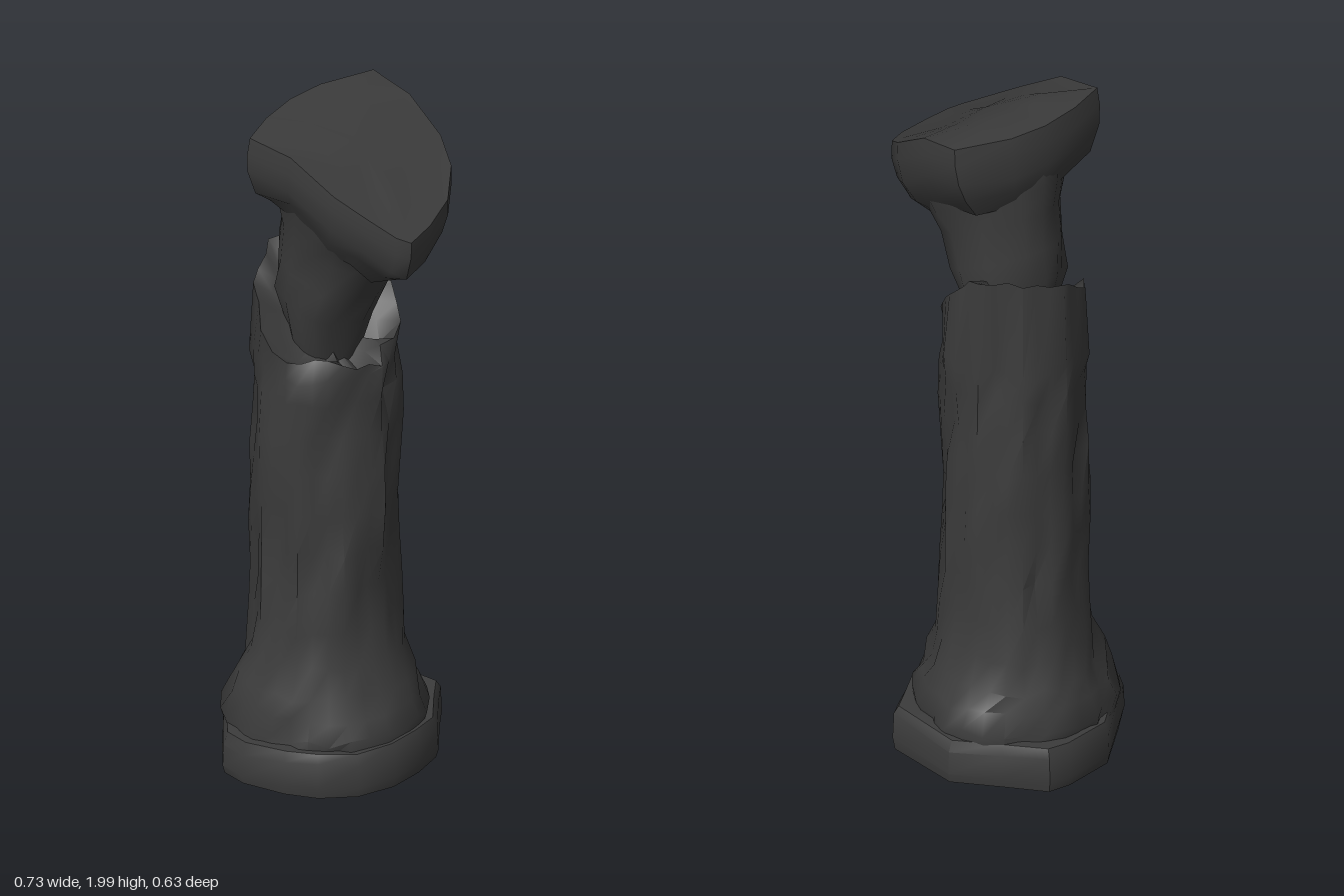
import * as THREE from 'three';
import { toCreasedNormals } from 'three/addons/utils/BufferGeometryUtils.js';

const TAU = Math.PI * 2;
const CX = -0.055; // axis of the standing shaft

// repeatable noise in -1..1
function hash(i, j) {
  const s = Math.sin(i * 127.1 + j * 311.7) * 43758.5453;
  return (s - Math.floor(s)) * 2 - 1;
}

// closed skin over rings of [x, y, z], listed bottom to top
function loft(rings, bottom, top, crease) {
  const n = rings[0].length;
  const pos = rings.flat().concat([bottom, top]).flat();
  const b = rings.length * n, t = b + 1, last = (rings.length - 1) * n;
  const index = [];
  for (let j = 0; j < n; j++) {
    const k = (j + 1) % n;
    for (let i = 0; i < rings.length - 1; i++) {
      const p = i * n + j, q = i * n + k;
      index.push(p, p + n, q, q, p + n, q + n);
    }
    index.push(b, j, k, t, last + k, last + j);
  }
  const g = new THREE.BufferGeometry();
  g.setAttribute('position', new THREE.Float32BufferAttribute(pos, 3));
  g.setIndex(index);
  return toCreasedNormals(g, crease);
}

// broken rim height by angle, from +x round through +z
const RIM = [1.27, 1.28, 1.31, 1.28, 1.43, 1.45, 1.52, 1.54, 1.54, 1.51, 1.41, 1.33];
function rimHeight(a) {
  const u = (a / TAU) * RIM.length, i = Math.floor(u) % RIM.length;
  return THREE.MathUtils.lerp(RIM[i], RIM[(i + 1) % RIM.length], u - Math.floor(u));
}

function plinthGeometry() {
  const outline = [[0.25, 0.06], [0.21, 0.17], [0.13, 0.25], [0.04, 0.29], [-0.09, 0.315], [-0.17, 0.3],
    [-0.23, 0.23], [-0.35, 0.08], [-0.37, -0.08], [-0.36, -0.15], [-0.25, -0.23], [-0.13, -0.32],
    [0.11, -0.31], [0.16, -0.24], [0.23, -0.15], [0.25, -0.05]];
  const ring = (s, y, w) => outline.map(([x, z], j) =>
    [CX + (x - CX) * s, y + w * hash(j, 3), z * s]);
  return loft([ring(0.98, 0, 0), ring(1, 0.03, 0.008), ring(0.99, 0.1, 0.015), ring(0.95, 0.13, 0.006)],
    [CX, 0, 0], [CX, 0.13, 0], 0.7);
}

function shaftGeometry() {
  const n = 30;
  // height and radius; the last rows are squeezed to the broken rim
  const profile = [[0.1, 0.275], [0.15, 0.285], [0.21, 0.262], [0.27, 0.245], [0.35, 0.216], [0.46, 0.205],
    [0.58, 0.201], [0.7, 0.2], [0.82, 0.2], [0.94, 0.2], [1.06, 0.2], [1.17, 0.2], [1.25, 0.2], [1, 0.195]];
  const rings = profile.map(([h, r], i) => Array.from({ length: n }, (_, j) => {
    const a = (j / n) * TAU;
    const lastRow = i === profile.length - 1;
    const flute = h > 0.4 ? 0.006 * Math.cos(a * 10) : 0;
    const chip = Math.max(0, hash(j, i) - 0.45) * 0.045;
    const wave = 0.005 * Math.sin(a * 3 + h * 9) + 0.004 * Math.sin(a * 5 - h * 13);
    const rr = r + flute + wave - chip + 0.003;
    const y = lastRow ? rimHeight(a) + 0.012 * hash(j, 50) : h + (i ? 0.014 * hash(j, i + 20) : 0);
    return [CX + rr * Math.cos(a), y, rr * Math.sin(a) - 0.004];
  }));
  // inner lip of the break
  rings.push(rings[rings.length - 1].map(([x, y, z], j) =>
    [CX + (x - CX) * 0.72, y - 0.04 + 0.03 * hash(j, 77), z * 0.72]));
  return loft(rings, [CX, 0.1, 0], [CX, 1.3, 0], 1.0);
}

function neckGeometry() {
  const n = 18;
  // tilted ellipses: left x, left y, right x, right y, half depth
  const rows = [[-0.15, 1.33, 0.03, 1.24, 0.11], [-0.19, 1.5, 0.07, 1.38, 0.15], [-0.18, 1.6, 0.12, 1.47, 0.16],
    [-0.17, 1.71, 0.165, 1.57, 0.165], [-0.175, 1.8, 0.2, 1.63, 0.19], [-0.17, 1.88, 0.25, 1.7, 0.215]];
  const rings = rows.map(([x0, y0, x1, y1, d], i) => Array.from({ length: n }, (_, j) => {
    const a = (j / n) * TAU;
    const k = 1 + 0.035 * Math.cos(a * 6 + 1) + 0.04 * hash(j, i + 40);
    const u = 0.5 + 0.5 * k * Math.cos(a);
    return [x0 + (x1 - x0) * u, y0 + (y1 - y0) * u, d * k * Math.sin(a) - 0.01];
  }));
  return loft(rings, [-0.06, 1.27, 0], [0.04, 1.8, 0], 1.0);
}

function capitalGeometry() {
  const outline = [[0.36, 0.12], [0.33, 0.15], [0.25, 0.185], [0.16, 0.22], [0.02, 0.24], [-0.12, 0.25],
    [-0.16, 0.13], [-0.18, 0], [-0.17, -0.12], [-0.11, -0.28], [0.03, -0.27], [0.16, -0.25],
    [0.24, -0.2], [0.31, -0.1], [0.345, 0.02]];
  const topY = x => 1.995 - 0.6 * Math.max(0, x + 0.01);
  // scale of the outline, shift along x, drop below the top face
  const ring = (s, dx, drop, w) => outline.map(([x, z], j) => {
    const px = 0.07 + (x - 0.07) * s;
    return [px + dx, topY(px) - drop + w * hash(j, drop * 100), z * s];
  });
  return loft([ring(0.68, -0.05, 0.24, 0.015), ring(0.86, -0.03, 0.18, 0.016), ring(0.97, -0.015, 0.12, 0.012),
    ring(1, -0.004, 0.05, 0.01), ring(0.985, 0, 0.004, 0), ring(0.5, -0.01, 0.006, 0.004)],
  [0.04, 1.74, 0], [0.07, 1.945, 0], 0.8);
}

export function createModel() {
  const group = new THREE.Group();
  group.name = 'brokenColumn';
  const stone = new THREE.MeshStandardMaterial({ color: 0x3c3c3c });
  stone.name = 'dark stone';
  const add = (name, geometry) => {
    const mesh = new THREE.Mesh(geometry, stone);
    mesh.name = name;
    group.add(mesh);
  };
  add('plinth', plinthGeometry());
  add('shaft', shaftGeometry());
  add('leaningNeck', neckGeometry());
  add('capital', capitalGeometry());
  return group;
}
